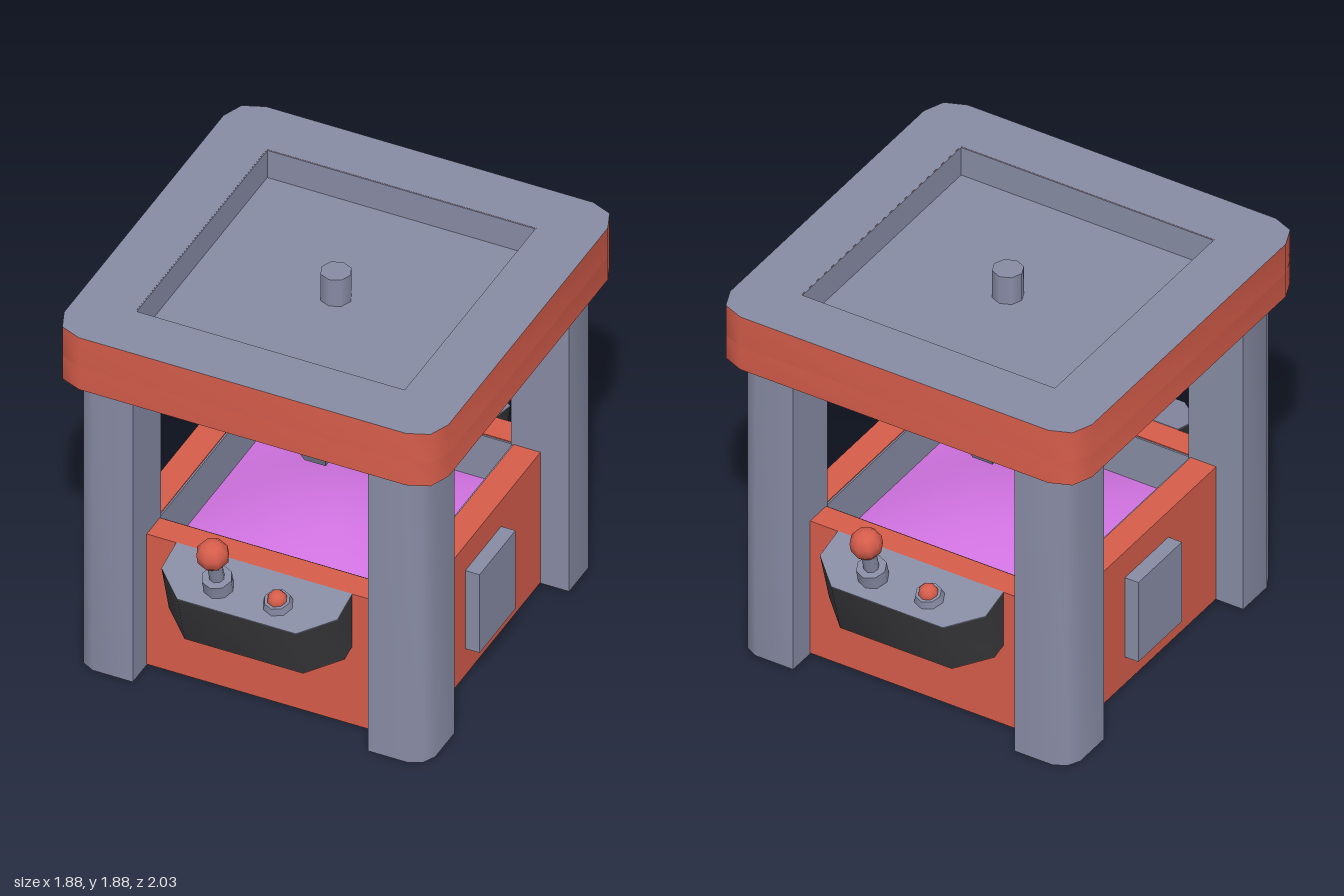
import * as THREE from 'three';
import { toCreasedNormals } from 'three/addons/utils/BufferGeometryUtils.js';

const mat = (name, color) => {
  const m = new THREE.MeshStandardMaterial({ color });
  m.name = name;
  return m;
};

// Upright prism from a plan outline of [x, z] points, with an optional square hole
function prism(points, y0, y1, hole = 0) {
  const shape = new THREE.Shape(points.map(([x, z]) => new THREE.Vector2(x, -z)));
  if (hole) {
    const h = hole;
    shape.holes.push(new THREE.Path([[-h, -h], [-h, h], [h, h], [h, -h]].map(([x, y]) => new THREE.Vector2(x, y))));
  }
  const geo = new THREE.ExtrudeGeometry(shape, { depth: y1 - y0, bevelEnabled: false });
  geo.rotateX(-Math.PI / 2).translate(0, y0, 0);
  return toCreasedNormals(geo, 0.85);
}

// Square column lofted through [y, inner, outer, halfWidth] sections
function loft(sections) {
  const pos = [];
  const rings = sections.map(([y, a, b, w]) => [[-w, y, b], [w, y, b], [w, y, a], [-w, y, a]]);
  const quad = (a, b, c, d) => pos.push(...a, ...b, ...c, ...a, ...c, ...d);
  for (let i = 0; i < rings.length - 1; i++) {
    const lo = rings[i], hi = rings[i + 1];
    for (let j = 0; j < 4; j++) {
      const k = (j + 1) % 4;
      quad(lo[j], lo[k], hi[k], hi[j]);
    }
  }
  const top = rings[rings.length - 1], bot = rings[0];
  quad(top[0], top[1], top[2], top[3]);
  quad(bot[3], bot[2], bot[1], bot[0]);
  const geo = new THREE.BufferGeometry();
  geo.setAttribute('position', new THREE.Float32BufferAttribute(pos, 3));
  geo.computeVertexNormals();
  return geo;
}

export function createModel() {
  const root = new THREE.Group();
  root.name = 'clawMachine';
  const red = mat('red', 0xd65d4b);
  const grey = mat('grey', 0x888ca4);
  const black = mat('black', 0x38373a);
  const purple = mat('purple', 0xd273e2);

  const add = (parent, name, geo, material, x = 0, y = 0, z = 0) => {
    const m = new THREE.Mesh(geo, material);
    m.name = name;
    m.position.set(x, y, z);
    parent.add(m);
    return m;
  };
  const square = (h) => [[-h, h], [h, h], [h, -h], [-h, -h]];

  // Thin grey floor and walls inside a square recess
  function lining(name, half, y0, y1) {
    const t = 0.008, g = new THREE.Group();
    g.name = name;
    add(g, 'floor', new THREE.BoxGeometry(half * 2, t, half * 2), grey, 0, y0 - t / 2, 0);
    for (let i = 0; i < 4; i++) {
      const geo = new THREE.BoxGeometry(half * 2 + t, y1 - y0, t);
      add(g, 'wall', geo.translate(0, (y0 + y1) / 2, half + t / 2), grey).rotation.y = i * Math.PI / 2;
    }
    root.add(g);
  }

  // Cabinet with an open prize basin
  add(root, 'cabinetWalls', prism(square(0.72), 0.004, 0.72, 0.588), red);
  add(root, 'cabinetBottom', new THREE.BoxGeometry(1.18, 0.04, 1.18), red, 0, 0.024, 0);
  lining('basinLining', 0.58, 0.4, 0.715);

  // Mound of prizes
  const mound = new THREE.PlaneGeometry(1.16, 1.16, 8, 8).rotateX(-Math.PI / 2);
  const mp = mound.attributes.position;
  for (let i = 0; i < mp.count; i++) {
    const bump = Math.cos(mp.getX(i) / 0.58 * Math.PI / 2) * Math.cos(mp.getZ(i) / 0.58 * Math.PI / 2);
    mp.setY(i, 0.48 + 0.13 * bump);
  }
  mound.computeVertexNormals();
  add(root, 'prizeMound', mound, purple);

  // Corner posts, rounded on the outside
  const post = prism([[0.575, 0.86], [0.77, 0.86], [0.83, 0.83], [0.86, 0.77], [0.86, 0.575], [0.575, 0.575]], 0, 1.6);
  for (let i = 0; i < 4; i++) add(root, 'cornerPost', post, grey).rotation.y = i * Math.PI / 2;

  // Roof with a sunken grey top
  const outline = [];
  for (const [sx, sz] of [[1, 1], [1, -1], [-1, -1], [-1, 1]]) {
    const corner = [[0.8, 0.94], [0.9, 0.9], [0.94, 0.8]].map(([x, z]) => [x * sx, z * sz]);
    outline.push(...(sx * sz > 0 ? corner : corner.reverse()));
  }
  add(root, 'roofSlab', prism(outline, 1.59, 1.715), red);
  add(root, 'roofRim', prism(outline, 1.715, 1.875, 0.66), [grey, red]);
  lining('roofLining', 0.655, 1.725, 1.874);
  add(root, 'roofPeg', new THREE.CylinderGeometry(0.072, 0.072, 0.15, 8), grey, 0, 1.795, 0);

  // Claw: tapered shaft and four prongs
  const claw = new THREE.Group();
  claw.name = 'claw';
  root.add(claw);
  add(claw, 'clawShaft', loft([[1.28, -0.11, 0.11, 0.11], [1.6, -0.08, 0.08, 0.08]]), grey);
  const prong = loft([[0.955, 0.11, 0.21, 0.052], [1.175, 0.11, 0.325, 0.105], [1.39, 0.11, 0.215, 0.052]]);
  for (let i = 0; i < 4; i++) add(claw, 'clawProng', prong, grey).rotation.y = i * Math.PI / 2;

  // Control consoles on front and back, hatches on both sides
  const plan = [[-0.43, -0.29], [-0.43, -0.135], [-0.29, 0], [0.29, 0], [0.43, -0.135], [0.43, -0.29]];
  for (const turn of [0, Math.PI]) {
    const side = new THREE.Group();
    side.name = 'consoleSide';
    side.rotation.y = turn;
    root.add(side);

    const con = new THREE.Group();
    con.name = 'console';
    con.position.set(0, 0.645, 1);
    con.rotation.x = 0.27;
    side.add(con);
    add(con, 'consoleBody', prism(plan, -0.276, -0.004), black);
    add(con, 'consoleTop', prism(plan, -0.004, 0), grey);
    add(con, 'consoleUnderside', prism(plan, -0.28, -0.276), red);

    // Joystick
    const jx = -0.145, jz = -0.125;
    add(con, 'joystickBase', toCreasedNormals(new THREE.CylinderGeometry(0.07, 0.07, 0.07, 8), 0.85), grey, jx, 0.035, jz);
    add(con, 'joystickStick', new THREE.CylinderGeometry(0.035, 0.035, 0.13, 8), grey, jx, 0.13, jz);
    add(con, 'joystickBall', new THREE.SphereGeometry(0.077, 8, 5), red, jx, 0.228, jz);

    // Push button
    add(con, 'buttonBase', new THREE.CylinderGeometry(0.06, 0.07, 0.035, 8), grey, -jx, 0.0175, jz);
    add(con, 'buttonCap', new THREE.SphereGeometry(0.046, 8, 4, 0, Math.PI * 2, 0, Math.PI / 2), red, -jx, 0.033, jz);

    // Side hatch
    add(side, 'sideHatch', new THREE.BoxGeometry(0.08, 0.43, 0.36), grey, 0.75, 0.365, 0);
  }
  return root;
}
